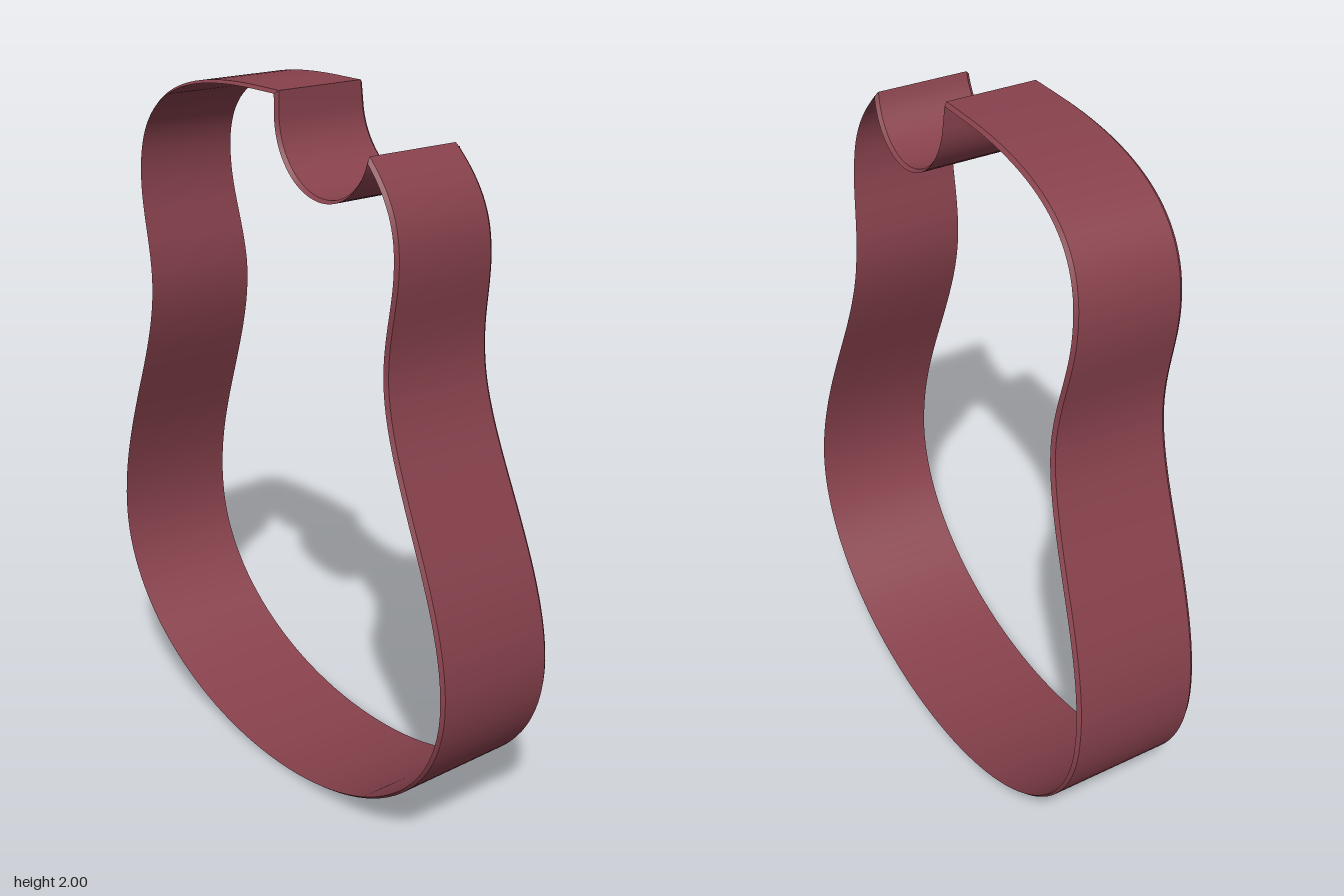
import * as THREE from 'three';
import { toCreasedNormals } from 'three/addons/utils/BufferGeometryUtils.js';

const WALL = 0.008;   // thickness of the bent side
const BEVEL = 0.01;   // the inner edge stands this much proud of the outer edge

// Piecewise-linear lookup over [y, z] pairs
function lookup(table, y) {
  for (let i = 1; i < table.length; i++) {
    const [y0, z0] = table[i - 1], [y1, z1] = table[i];
    if (y <= y1 || i === table.length - 1) return z0 + (z1 - z0) * (y - y0) / (y1 - y0);
  }
}
const frontZ = y => lookup([[0, 0.177], [0.55, 0.19], [1, 0.2], [1.5, 0.204], [2, 0.205]], y);
const backZ = y => lookup([[0, -0.205], [0.55, -0.183], [1, -0.158], [1.37, -0.135], [1.72, -0.104], [2, -0.077]], y);

// Body outline, counter-clockwise from the bottom centre
function outline() {
  const s = new THREE.Shape();
  s.moveTo(0, 0);
  s.bezierCurveTo(0.41, 0, 0.757, 0.22, 0.757, 0.55);
  s.bezierCurveTo(0.757, 0.85, 0.53, 1.13, 0.53, 1.37);
  s.bezierCurveTo(0.53, 1.48, 0.565, 1.56, 0.563, 1.66);
  s.bezierCurveTo(0.563, 1.75, 0.53, 1.82, 0.45, 1.895);
  // round cutaway beside the neck
  s.absarc(0.275, 1.94, 0.18, -0.25, -Math.PI, true);
  s.lineTo(0.095, 2);
  s.lineTo(0, 2);
  s.bezierCurveTo(-0.38, 2, -0.565, 1.9, -0.565, 1.66);
  s.bezierCurveTo(-0.565, 1.56, -0.53, 1.48, -0.53, 1.37);
  s.bezierCurveTo(-0.53, 1.13, -0.757, 0.85, -0.757, 0.55);
  s.bezierCurveTo(-0.757, 0.22, -0.41, 0, 0, 0);
  const pts = s.getPoints(28).filter((p, i, a) => i === 0 || p.distanceTo(a[i - 1]) > 0.003);
  if (pts[0].distanceTo(pts[pts.length - 1]) < 0.003) pts.pop();
  return pts;
}

// Mitred inward offset of a counter-clockwise loop
function inset(pts, d) {
  const n = pts.length;
  const normal = (a, b) => new THREE.Vector2(a.y - b.y, b.x - a.x).normalize();
  return pts.map((p, i) => {
    const n0 = normal(pts[(i + n - 1) % n], p), n1 = normal(p, pts[(i + 1) % n]);
    const m = n0.clone().add(n1);
    return p.clone().addScaledVector(m, d / (1 + n0.dot(n1)));
  });
}

function sideBand() {
  const outer = outline(), inner = inset(outer, WALL), n = outer.length;
  const pos = [];
  // Four-cornered cross-section: outer back, outer front, inner front, inner back
  const section = i => {
    const o = outer[i % n], q = inner[i % n];
    return [
      [o.x, o.y, backZ(o.y) + BEVEL], [o.x, o.y, frontZ(o.y) - BEVEL],
      [q.x, q.y, frontZ(o.y)], [q.x, q.y, backZ(o.y)],
    ];
  };
  for (let i = 0; i < n; i++) {
    const a = section(i), b = section(i + 1);
    for (let k = 0; k < 4; k++) {
      const j = (k + 1) % 4;
      pos.push(...a[k], ...b[k], ...b[j], ...a[k], ...b[j], ...a[j]);
    }
  }
  const g = new THREE.BufferGeometry();
  g.setAttribute('position', new THREE.Float32BufferAttribute(pos, 3));
  return toCreasedNormals(g, 0.5);
}

export function createModel() {
  const group = new THREE.Group();
  group.name = 'guitarSides';
  const wood = new THREE.MeshStandardMaterial({ color: 0x87414c });
  wood.name = 'reddish wood';
  const band = new THREE.Mesh(sideBand(), wood);
  band.name = 'sideBand';
  group.add(band);
  return group;
}
